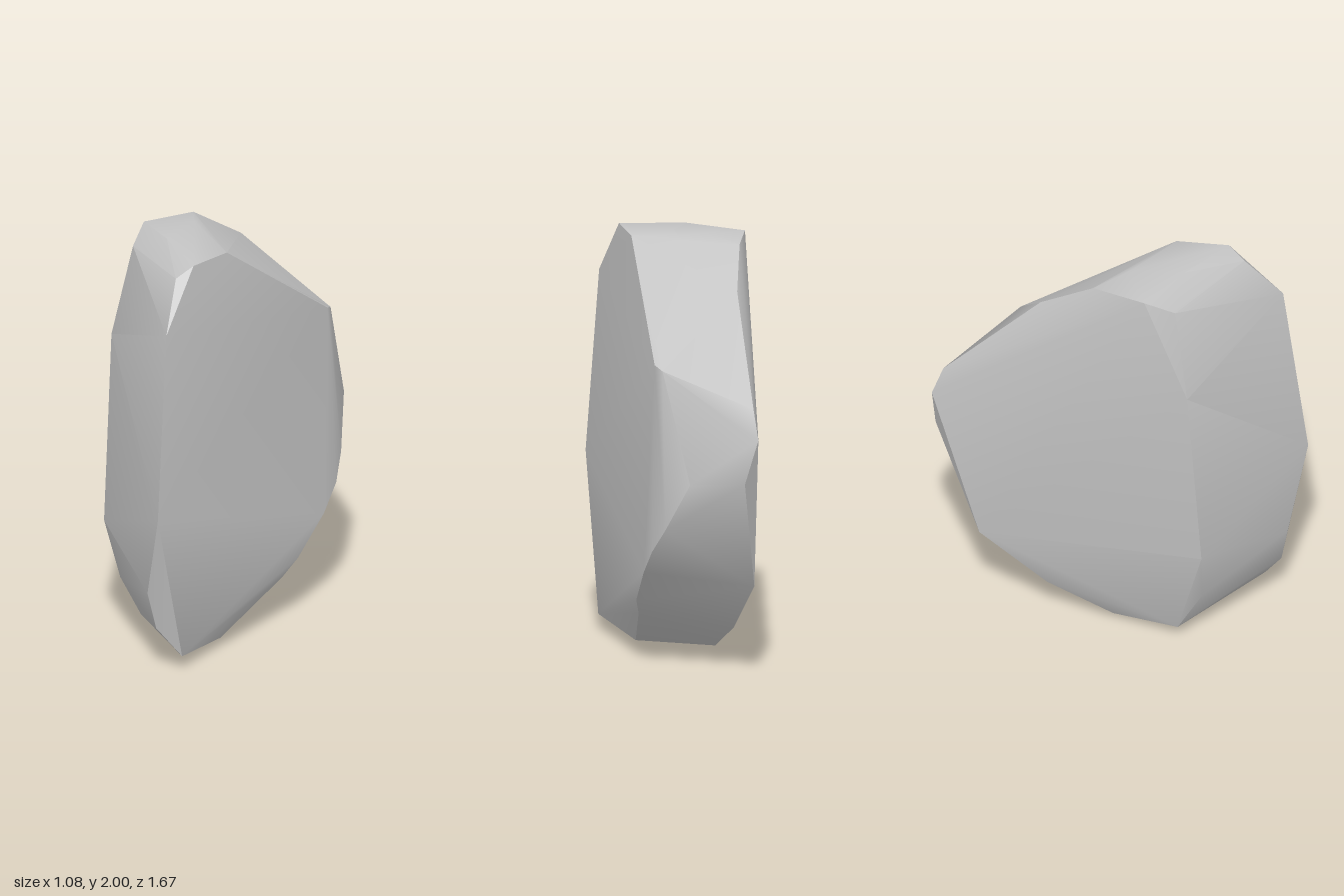
import * as THREE from 'three';
import { ConvexGeometry } from 'three/addons/geometries/ConvexGeometry.js';
import { toCreasedNormals } from 'three/addons/utils/BufferGeometryUtils.js';

const toVectors = (rows) => rows.map(([x, y, z]) => new THREE.Vector3(x, y, z));

export function createModel() {
  const group = new THREE.Group();
  group.name = 'rock';

  const stone = new THREE.MeshStandardMaterial({ color: 0xc4c4c4 });
  stone.name = 'pale grey stone';

  // outline of the broad front face, clockwise from the left edge
  const frontFace = toVectors([
    [-0.23, 0.82, 0.835], [-0.2, 1.71, 0.72], [-0.09, 1.98, 0.49], [0.05, 1.97, 0.28],
    [0.48, 1.49, -0.27], [0.535, 0.96, -0.55], [0.535, 0.72, -0.39], [0.52, 0.6, -0.29],
    [0.47, 0.48, -0.19], [0.36, 0.31, -0.04], [0.29, 0.23, 0.01], [0.02, 0.02, 0.28],
    [-0.13, 0.07, 0.66],
  ]);

  // outline of the broad back face
  const backFace = toVectors([
    [-0.37, 1.98, -0.06], [-0.15, 1.97, -0.23], [0.06, 1.8, -0.41], [0.35, 1.33, -0.785],
    [0.37, 1.19, -0.835], [0.42, 0.98, -0.795], [0.21, 0.44, -0.66], [0.05, 0.18, -0.38],
    [-0.11, 0.03, -0.11], [-0.37, 0.06, 0.11], [-0.54, 0.55, 0.16], [-0.51, 1.47, 0.1],
  ]);

  // chips and bulges on the rim between the two faces
  const rim = toVectors([
    [-0.41, 1.91, 0.08], [-0.24, 2, 0.2], [-0.13, 2, -0.04], [-0.17, 1.93, 0.535],
    [0.49, 1.47, -0.33], [-0.29, 0.4, 0.705], [-0.25, 0.22, 0.69], [-0.46, 0.28, 0.2],
    [-0.17, 0, 0.12],
  ]);

  // smooth over gentle bends, sharp along the broken edges
  const hull = new ConvexGeometry([...frontFace, ...backFace, ...rim]);
  const boulder = new THREE.Mesh(toCreasedNormals(hull, 0.6), stone);
  boulder.name = 'boulder';
  group.add(boulder);

  return group;
}
